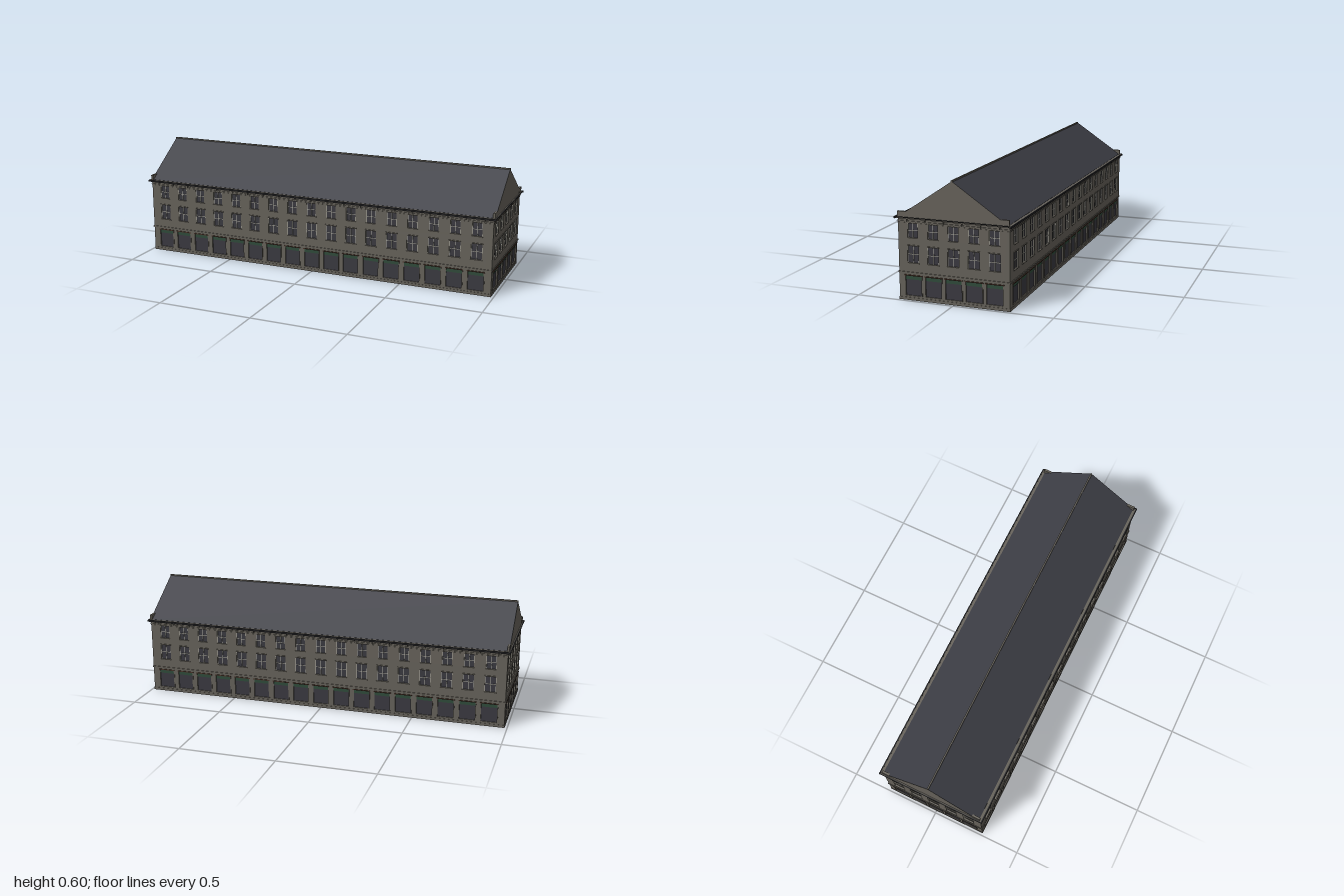
import * as THREE from 'three';
import { mergeGeometries } from 'three/addons/utils/BufferGeometryUtils.js';

const material = (name, color) => {
  const m = new THREE.MeshStandardMaterial({ color });
  m.name = name;
  return m;
};

export function createModel() {
  const stone = material('stone', 0x66625a);
  const slate = material('roofSlate', 0x3d3e45);
  const glass = material('windowGlass', 0x3a3940);
  const paint = material('windowPaint', 0xb9b7ac);
  const green = material('shopGreen', 0x2f4a3a);
  const brown = material('fasciaBrown', 0x49352a);
  const iron = material('gutterIron', 0x222224);

  const building = new THREE.Group();
  building.name = 'building';
  const PITCH_LONG = 0.113, PITCH_END = 0.104;
  const X = 0.985, Z = 0.283, REVEAL = 0.008;

  // box given by its limits
  const slab = (x0, x1, y0, y1, z0, z1) =>
    new THREE.BoxGeometry(x1 - x0, y1 - y0, z1 - z0)
      .translate((x0 + x1) / 2, (y0 + y1) / 2, (z0 + z1) / 2);

  const put = (parent, name, geometry, mat) => {
    const mesh = new THREE.Mesh(geometry, mat);
    mesh.name = name;
    parent.add(mesh);
    return mesh;
  };

  const rectangle = (Type, x0, x1, y0, y1) => {
    const p = new Type();
    p.moveTo(x0, y0);
    p.lineTo(x1, y0);
    p.lineTo(x1, y1);
    p.lineTo(x0, y1);
    p.closePath();
    return p;
  };

  // One wall with its bays; local z = 0 is the wall surface, +z is outward
  function facade(name, half, count, pitch) {
    const group = new THREE.Group();
    group.name = name;
    const wall = rectangle(THREE.Shape, -half, half, 0, 0.4);
    const parts = {};
    const add = (part, mat, ...limits) => {
      parts[part] ??= { mat, list: [] };
      parts[part].list.push(slab(...limits));
    };

    for (let i = 0; i < count; i++) {
      const c = (i - (count - 1) / 2) * pitch;

      // two storeys of sash windows
      for (const [w, y0, y1, lintel] of [[0.029, 0.187, 0.27, true], [0.026, 0.31, 0.38, false]]) {
        const mid = (y0 + y1) / 2, t = 0.0012;
        wall.holes.push(rectangle(THREE.Path, c - w, c + w, y0, y1));
        add('sashGlass', glass, c - w, c + w, y0, y1, -REVEAL, -0.006);
        add('glazingBars', paint, c - t, c + t, y0, y1, -0.006, -0.003);
        add('glazingBars', paint, c - w, c + w, mid - t, mid + t, -0.006, -0.003);
        for (const s of [-1, 1]) {
          const e = c + s * (w - 0.001);
          add('glazingBars', paint, e - 0.001, e + 0.001, y0, y1, -0.006, -0.003);
        }
        add('windowSills', stone, c - w - 0.003, c + w + 0.003, y0 - 0.003, y0, -0.006, 0.004);
        if (lintel) add('windowLintels', stone, c - w - 0.003, c + w + 0.003, y1, y1 + 0.005, -0.002, 0.004);
      }

      // shopfront
      const w = 0.0415;
      wall.holes.push(rectangle(THREE.Path, c - w, c + w, 0.023, 0.122));
      add('shopGlass', glass, c - w, c + w, 0.023, 0.103, -REVEAL, -0.005);
      add('shopTransoms', green, c - w, c + w, 0.103, 0.122, -REVEAL, -0.003);
      add('shopFascias', brown, c - 0.047, c + 0.047, 0.122, 0.127, -0.004, 0.004);
      for (const s of [-1, 1]) {
        const e = c + s * 0.0437;
        add('shopPilasters', stone, e - 0.0022, e + 0.0022, 0.023, 0.122, -0.002, 0.002);
      }
    }

    // brackets under the cornice
    const brackets = Math.round((2 * half) / 0.094);
    for (let i = 0; i < brackets; i++) {
      const c = (i - (brackets - 1) / 2) * 0.094;
      add('corniceBrackets', stone, c - 0.002, c + 0.002, 0.389, 0.402, 0, 0.008);
    }

    const wallGeometry = new THREE.ExtrudeGeometry(wall, { depth: REVEAL, bevelEnabled: false });
    put(group, 'wall', wallGeometry.translate(0, 0, -REVEAL), stone);
    for (const [part, { mat, list }] of Object.entries(parts)) put(group, part, mergeGeometries(list), mat);
    return group;
  }

  // four walls around a solid core
  for (const s of [1, -1]) {
    const long = facade(s > 0 ? 'frontFacade' : 'backFacade', X, 17, PITCH_LONG);
    long.position.z = s * Z;
    long.rotation.y = s > 0 ? 0 : Math.PI;
    const end = facade(s > 0 ? 'leftFacade' : 'rightFacade', Z - REVEAL, 5, PITCH_END);
    end.position.x = s * X;
    end.rotation.y = s * Math.PI / 2;
    building.add(long, end);
  }
  const core = slab(-X + REVEAL, X - REVEAL, 0.001, 0.4, -Z + REVEAL, Z - REVEAL);
  put(building, 'core', core, stone);

  // horizontal bands running all the way round
  const band = (name, y0, y1, out) =>
    put(building, name, slab(-X - out, X + out, y0, y1, -Z - out, Z + out), stone);
  band('plinth', 0, 0.014, 0.002);
  band('stringCourse', 0.134, 0.141, 0.004);
  band('architrave', 0.380, 0.383, 0.002);
  band('frieze', 0.389, 0.392, 0.005);
  band('cornice', 0.402, 0.41, 0.009);

  // roof prism: slate slopes, stone gable ends
  const profile = new THREE.Shape();
  profile.moveTo(-0.278, 0.409);
  profile.lineTo(0.278, 0.409);
  profile.lineTo(0.278, 0.411);
  profile.lineTo(0, 0.598);
  profile.lineTo(-0.278, 0.411);
  profile.closePath();
  const roof = new THREE.ExtrudeGeometry(profile, { depth: 1.98, bevelEnabled: false });
  roof.translate(0, 0, -0.99).rotateY(Math.PI / 2);
  put(building, 'roof', roof, [stone, slate]);
  put(building, 'ridgeCap', slab(-0.991, 0.991, 0.594, 0.602, -0.004, 0.004), stone);

  // gable kneelers and eaves gutters
  for (const sz of [-1, 1]) {
    for (const sx of [-1, 1]) {
      const kneeler = new THREE.BoxGeometry(0.012, 0.028, 0.043);
      put(building, 'gableKneeler', kneeler.translate(sx * 0.985, 0.423, sz * 0.2615), stone);
    }
    const gutter = new THREE.BoxGeometry(2, 0.009, 0.007);
    put(building, 'gutter', gutter.translate(0, 0.4065, sz * 0.2945), iron);
  }
  for (const sx of [-1, 1]) {
    const drip = new THREE.BoxGeometry(0.006, 0.003, 0.582);
    put(building, 'corniceFlashing', drip.translate(sx * 0.997, 0.4095, 0), iron);
  }

  return building;
}
